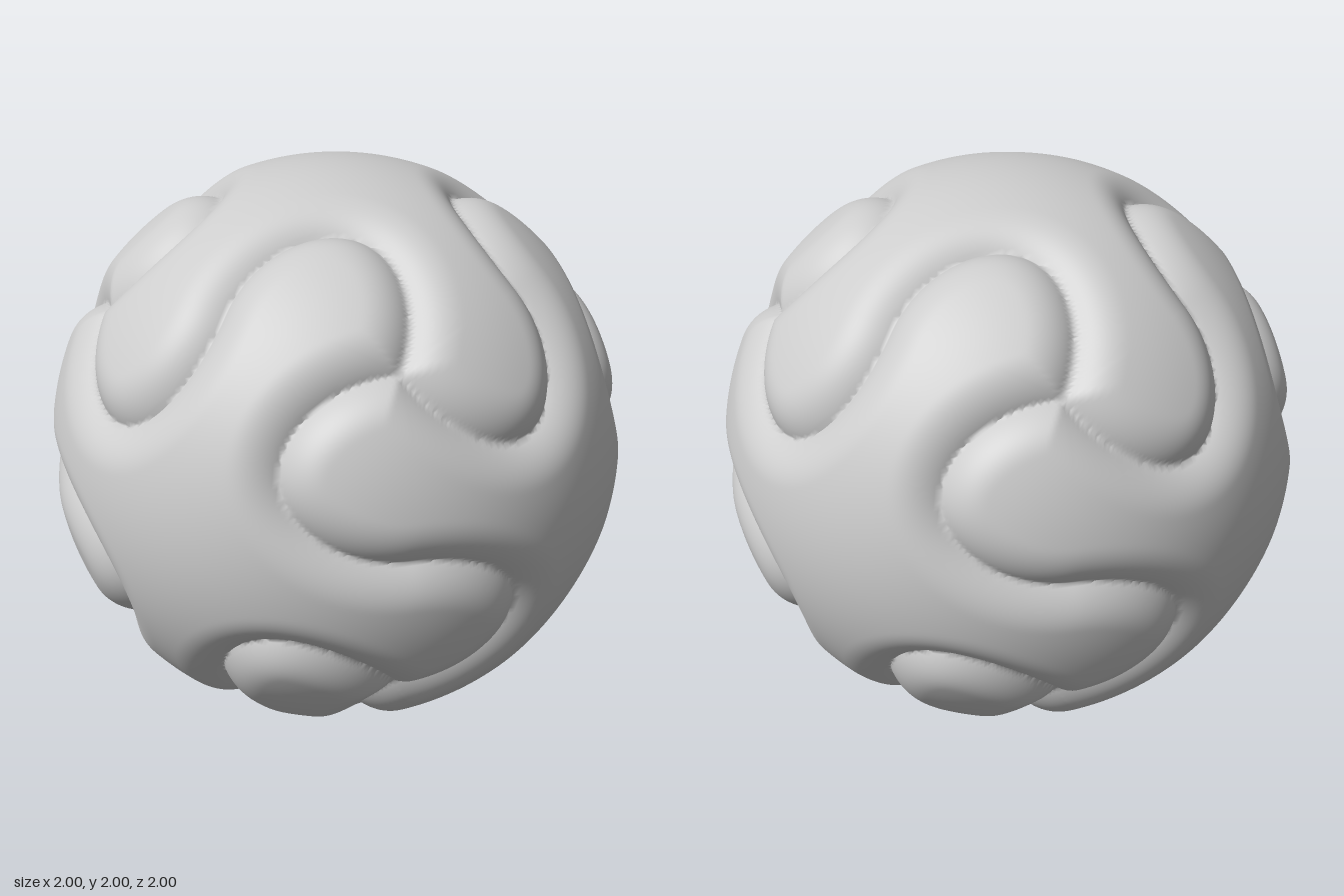
import * as THREE from 'three';
import { mergeVertices } from 'three/addons/utils/BufferGeometryUtils.js';

const GRID = 110;          // cells along each side of the cube-sphere
const DEPTH = 0.06;        // depth of the grooves
const SHOULDER = 0.155;    // width of the rounded edge of each piece

// Half of one S-shaped seam: a half ellipse from a three-way corner to an edge middle
function halfSeam(samples) {
  const points = [];
  const mid = new THREE.Vector3(0, 1, 1).normalize();
  const side = new THREE.Vector3(0, -1, 1).normalize();
  const along = new THREE.Vector3(1, 0, 0);
  const halfSpan = Math.atan(Math.SQRT1_2) / 2;
  const swing = THREE.MathUtils.degToRad(24);
  for (let i = 0; i <= samples; i++) {
    const t = Math.PI * i / samples;
    const u = -halfSpan * (1 + Math.cos(t));
    const v = swing * Math.sin(t);
    points.push(new THREE.Vector3()
      .addScaledVector(mid, Math.cos(v) * Math.cos(u))
      .addScaledVector(along, Math.cos(v) * Math.sin(u))
      .addScaledVector(side, Math.sin(v)));
  }
  return points;
}

// Repeat the half seam with all 24 rotations of a cube
function allSeams() {
  const out = [];
  for (const p of halfSeam(180)) {
    for (let k = 0; k < 4; k++) {
      p.set(p.y, -p.x, p.z);                 // quarter turn about z
      for (const s of [1, -1]) {
        const [x, y, z] = [p.x, s * p.y, s * p.z];  // front or back
        out.push(x, y, z, y, z, x, z, x, y); // three axes
      }
    }
  }
  return new Float64Array(out);
}

function pieceSurface() {
  let geo = new THREE.BoxGeometry(2, 2, 2, GRID, GRID, GRID);
  geo.deleteAttribute('normal');
  geo.deleteAttribute('uv');
  geo = mergeVertices(geo);
  geo.clearGroups();

  const seams = allSeams();
  const pos = geo.attributes.position;
  const snap = 0.47 * (Math.PI / 2) / GRID;
  const p = new THREE.Vector3();
  const even = (a) => Math.tan(a * Math.PI / 4);
  for (let i = 0; i < pos.count; i++) {
    p.fromBufferAttribute(pos, i);
    p.set(even(p.x), even(p.y), even(p.z)).normalize();
    // nearest seam point
    let best = -2, at = 0;
    for (let j = 0; j < seams.length; j += 3) {
      const dot = p.x * seams[j] + p.y * seams[j + 1] + p.z * seams[j + 2];
      if (dot > best) { best = dot; at = j; }
    }
    let d = Math.sqrt(Math.max(0, 2 - 2 * best));
    // pull close vertices onto the seam so that the crease stays crisp
    if (d < snap) {
      p.fromArray(seams, at);
      d = 0;
    }
    const t = Math.max(0, 1 - d / SHOULDER);
    p.multiplyScalar(1 - DEPTH * Math.pow(t, 2.1));
    pos.setXYZ(i, p.x, p.y, p.z);
  }
  geo.computeVertexNormals();
  return geo;
}

export function createModel() {
  const group = new THREE.Group();
  group.name = 'puzzleBall';
  const grey = new THREE.MeshStandardMaterial({ color: 0xcccccc });
  grey.name = 'light grey';

  // Six interlocking cushioned pieces forming one ball
  const ball = new THREE.Mesh(pieceSurface(), grey);
  ball.name = 'interlockingPieces';
  ball.position.y = 1;
  group.add(ball);
  return group;
}
